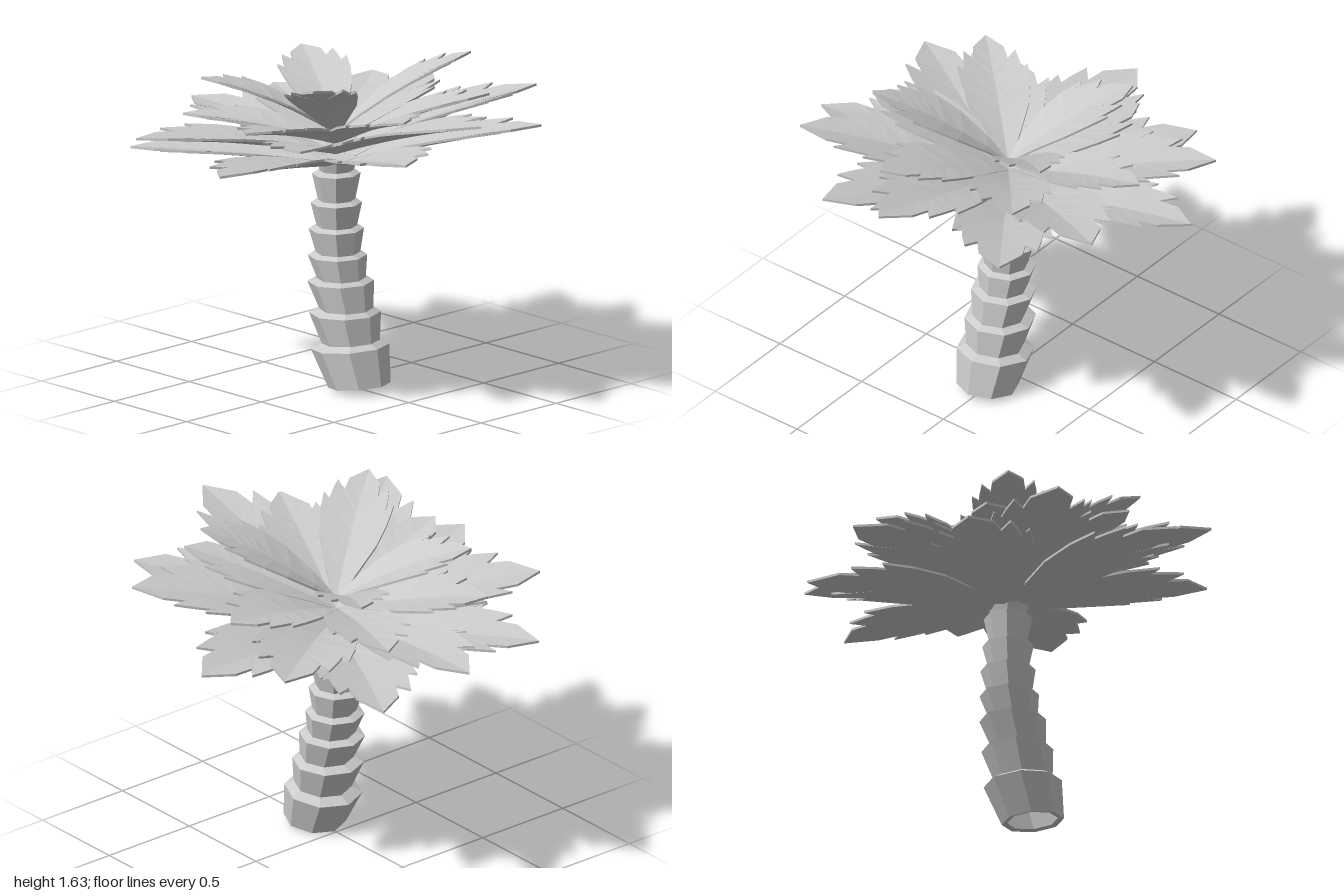
import * as THREE from 'three';

const SIDES = 8;

function facetedMesh(name, positions, side) {
  const geometry = new THREE.BufferGeometry();
  geometry.setAttribute('position', new THREE.Float32BufferAttribute(positions, 3));
  geometry.computeVertexNormals();
  const mesh = new THREE.Mesh(geometry, new THREE.MeshStandardMaterial({
    color: 0xcccccc, flatShading: true, side,
  }));
  mesh.name = name;
  return mesh;
}

// Octagonal ring, tilted so that y rises along x by the slope
function ring(x, y, radius, slope) {
  return Array.from({ length: SIDES }, (_, i) => {
    const a = (i / SIDES) * Math.PI * 2;
    const dx = Math.cos(a) * radius;
    return [x + dx, y + dx * slope, Math.sin(a) * radius];
  });
}

// Leaning hollow trunk of stacked cups: each flares upward, then steps in to the next
function makeTrunk() {
  // [centre x, height, radius, slope]: inner rim of the foot, then foot and lip of each cup
  const levels = [
    [0.158, 0.025, 0.122, 0.13],
    [0.16, 0.02, 0.15, 0.13], [0.095, 0.2, 0.188, 0.11],
    [0.1, 0.225, 0.14, 0.1], [0.06, 0.365, 0.173, 0.03],
    [0.07, 0.385, 0.13, 0.03], [0.03, 0.515, 0.16, 0.03],
    [0.035, 0.53, 0.117, 0.03], [0.008, 0.64, 0.143, 0.02],
    [0.012, 0.655, 0.107, 0.02], [0, 0.77, 0.133, 0.02],
    [0.004, 0.785, 0.097, 0.02], [0, 0.9, 0.124, 0.02],
    [0.002, 0.915, 0.09, 0.03], [0, 1.045, 0.117, 0.03],
    [0.004, 1.06, 0.082, 0.05], [0.005, 1.12, 0.1, 0.08],
  ];
  const rings = levels.map((l) => ring(...l));
  const out = [];
  const tri = (a, b, c) => out.push(...a, ...b, ...c);
  for (let k = 0; k < rings.length - 1; k++) {
    for (let i = 0; i < SIDES; i++) {
      const j = (i + 1) % SIDES;
      const [a, b, c, d] = [rings[k][i], rings[k][j], rings[k + 1][j], rings[k + 1][i]];
      tri(a, d, c);
      tri(a, c, b);
    }
  }
  // Top cap; the foot stays open
  const last = rings[rings.length - 1];
  for (let i = 1; i < SIDES - 1; i++) tri(last[0], last[i + 1], last[i]);
  return facetedMesh('trunk', out, THREE.DoubleSide);
}

// Half outline of a serrated frond: [midrib position, edge position, half width]
const FROND = [
  [0.0, 0.0, 0.025], [0.15, 0.17, 0.11], [0.33, 0.36, 0.195], [0.46, 0.53, 0.23],
  [0.52, 0.69, 0.24], [0.56, 0.63, 0.195], [0.6, 0.72, 0.19], [0.64, 0.83, 0.175],
  [0.69, 0.76, 0.115], [0.8, 0.87, 0.105], [1.0, 1.0, 0.0],
];
const THICKNESS = 0.012;

// Frond along +x: arched thin slab, with both halves folded up in a shallow V
function makeFrond(length, width, rise) {
  const arch = (u) => rise * (1.4 * u - 0.4 * u * u);
  const mid = (u) => [u * length, arch(u), 0];
  const edge = (u, w, s) => [u * length, arch(u) + 0.28 * w * width * (1 - 0.6 * u), s * w * width];
  const under = ([x, y, z]) => [x, y - THICKNESS, z];
  const out = [];
  for (const s of [1, -1]) {
    // Mirrored halves need the opposite corner order
    const tri = (a, b, c) => (s > 0 ? out.push(...a, ...b, ...c) : out.push(...a, ...c, ...b));
    const quad = (a, b, c, d) => { tri(a, b, c); tri(a, c, d); };
    for (let i = 0; i < FROND.length - 1; i++) {
      const [m0, e0, w0] = FROND[i], [m1, e1, w1] = FROND[i + 1];
      const a = mid(m0), b = mid(m1), c = edge(e1, w1, s), d = edge(e0, w0, s);
      quad(a, d, c, b);
      quad(under(a), under(b), under(c), under(d));
      quad(d, under(d), under(c), c);
    }
  }
  return facetedMesh('frond', out, THREE.FrontSide);
}

export function createModel() {
  const model = new THREE.Group();
  model.name = 'palmTree';
  model.add(makeTrunk());

  // Crown tiers, from lowest to highest; angles run from +x towards +z
  const tiers = [
    { name: 'lowerFronds', y: 1.09, rise: 0.145, length: 1.0, width: 1.0, angles: [24.5, 78, 143, 206.6, 260, 324] },
    { name: 'middleFronds', y: 1.15, rise: 0.205, length: 1.0, width: 1.0, angles: [0, 54, 118, 180, 234, 298] },
    { name: 'upperFronds', y: 1.2, rise: 0.195, length: 0.74, width: 0.82, angles: [18, 80, 140, 200, 263, 320] },
    { name: 'topFronds', y: 1.25, rise: 0.335, length: 0.65, width: 0.72, angles: [54, 132, 209, 308] },
  ];
  // The whole crown leans: height grows with x
  const lean = new THREE.Matrix4().set(1, 0, 0, 0, 0.125, 1, 0, 0, 0, 0, 1, 0, 0, 0, 0, 1);
  for (const tier of tiers) {
    const group = new THREE.Group();
    group.name = tier.name;
    group.position.y = tier.y;
    for (const degrees of tier.angles) {
      const frond = makeFrond(tier.length, tier.width, tier.rise);
      frond.geometry.rotateY(-THREE.MathUtils.degToRad(degrees)).applyMatrix4(lean);
      frond.geometry.computeVertexNormals();
      group.add(frond);
    }
    model.add(group);
  }
  return model;
}
